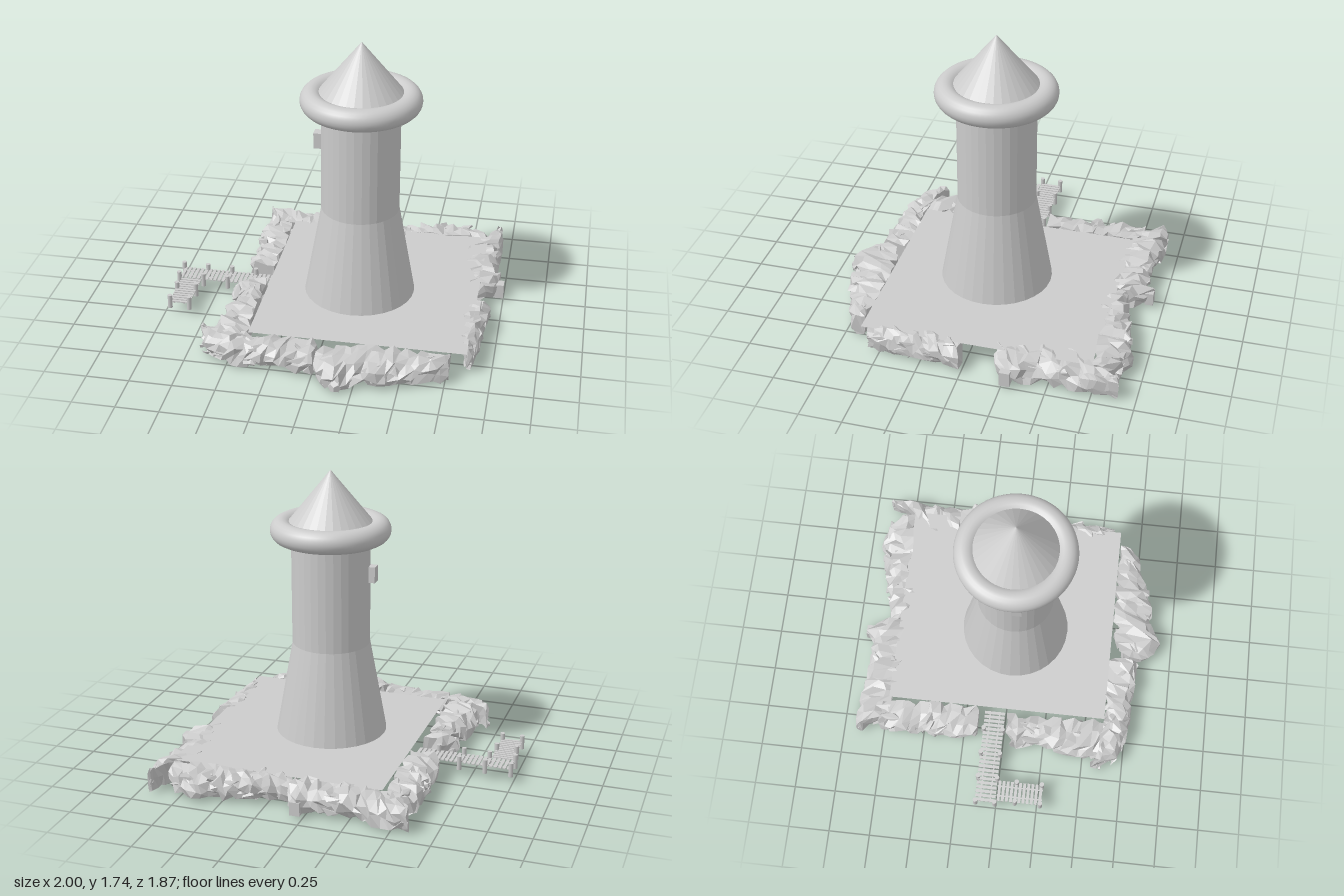
import * as THREE from 'three';
import { ConvexGeometry } from 'three/addons/geometries/ConvexGeometry.js';
import { mergeGeometries } from 'three/addons/utils/BufferGeometryUtils.js';

const smooth = new THREE.MeshStandardMaterial({ color: 0xcccccc });
const flat = new THREE.MeshStandardMaterial({ color: 0xcccccc, flatShading: true });
const thin = new THREE.MeshStandardMaterial({ color: 0xcccccc, side: THREE.DoubleSide });

let seed = 7;
function rand(a = 0, b = 1) {
  seed = (seed * 16807) % 2147483647;
  return a + (b - a) * (seed / 2147483647);
}

function add(parent, name, geometry, material, x = 0, y = 0, z = 0) {
  const mesh = new THREE.Mesh(geometry, material);
  mesh.name = name;
  mesh.position.set(x, y, z);
  parent.add(mesh);
  return mesh;
}

// Rock wall footprints: [distance along the side, inner edge, outer edge]
const WALLS = [
  ['backRightRocks', 'x', [[-0.6, -0.87, -0.92], [-0.5, -0.73, -0.93], [-0.3, -0.69, -0.9], [-0.1, -0.69, -0.89], [0.04, -0.69, -0.94], [0.12, -0.71, -0.84]]],
  ['backLeftRocks', 'x', [[0.12, -0.73, -0.8], [0.25, -0.63, -0.83], [0.4, -0.7, -0.87], [0.65, -0.72, -0.93], [0.75, -0.73, -0.9], [0.85, -0.71, -0.83]]],
  ['leftBackRocks', 'z', [[-0.9, 0.91, 0.94], [-0.75, 0.85, 0.96], [-0.6, 0.73, 0.95], [-0.45, 0.74, 0.95], [-0.27, 0.8, 0.99], [-0.18, 0.78, 0.9]]],
  ['leftFrontRocks', 'z', [[0.01, 0.83, 0.95], [0.1, 0.78, 0.94], [0.2, 0.8, 0.93], [0.35, 0.8, 0.92], [0.45, 0.82, 0.92], [0.57, 0.85, 0.89]]],
  ['frontLeftRocks', 'x', [[0.02, 0.68, 0.82], [0.08, 0.66, 0.88], [0.16, 0.63, 0.93], [0.25, 0.61, 0.87], [0.4, 0.61, 0.85], [0.55, 0.61, 0.8], [0.77, 0.62, 0.71]]],
  ['frontRightRocks', 'x', [[-0.69, 0.55, 0.6], [-0.6, 0.6, 0.73], [-0.5, 0.61, 0.76], [-0.3, 0.61, 0.78], [-0.1, 0.59, 0.79], [0.01, 0.62, 0.8]]],
  ['rightFrontRocks', 'z', [[0.01, -0.41, -0.54], [0.1, -0.43, -0.64], [0.2, -0.42, -0.58], [0.35, -0.42, -0.62], [0.5, -0.4, -0.64], [0.65, -0.4, -0.62]]],
  ['rightBackRocks', 'z', [[-0.78, -0.42, -0.59], [-0.6, -0.41, -0.6], [-0.4, -0.4, -0.59], [-0.27, -0.4, -0.6], [-0.165, -0.4, -0.58]]],
];

// Cross-section of a wall: u from inner to outer edge, v from base to crest
const SECTION = [[0.2, 0.05], [0.6, 0.04], [0.88, 0.18], [1, 0.45], [0.93, 0.72], [0.7, 0.93], [0.35, 0.97], [0.04, 0.93], [0.08, 0.5]];

// Interpolated inner and outer edge at distance t
function edges(stations, t) {
  let i = 0;
  while (i < stations.length - 2 && stations[i + 1][0] < t) i++;
  const [a, b] = [stations[i], stations[i + 1]];
  const k = (t - a[0]) / (b[0] - a[0]);
  return [a[1] + (b[1] - a[1]) * k, a[2] + (b[2] - a[2]) * k];
}

function wallGeometry(axis, stations) {
  const start = stations[0][0], end = stations[stations.length - 1][0];
  const steps = Math.round((end - start) / 0.04), n = SECTION.length;
  const place = (t, w, y) => (axis === 'x' ? [t, y, w] : [w, y, t]);
  const pos = [], index = [];

  // Jagged core swept along the side
  for (let s = 0; s <= steps; s++) {
    const t0 = start + ((end - start) * s) / steps;
    const [inner, outer] = edges(stations, t0);
    for (const [u, v] of SECTION) {
      const t = THREE.MathUtils.clamp(t0 + rand(-0.02, 0.02), start, end);
      const uu = THREE.MathUtils.clamp(u + rand(-0.13, 0.13), 0, 1);
      const y = THREE.MathUtils.clamp(v * 0.155 + rand(-0.02, 0.015), 0.008, 0.16);
      pos.push(...place(t, inner + (outer - inner) * uu, y));
    }
  }
  const flip = (axis === 'x') === (stations[1][2] > stations[1][1]);
  const tri = (a, b, c) => index.push(...(flip ? [a, c, b] : [a, b, c]));
  for (let s = 0; s < steps; s++) {
    for (let i = 0; i < n; i++) {
      const a = s * n + i, b = s * n + ((i + 1) % n);
      tri(a, b, b + n);
      tri(a, b + n, a + n);
    }
  }
  for (let i = 1; i < n - 1; i++) {
    tri(0, i + 1, i);
    tri(steps * n, steps * n + i, steps * n + i + 1);
  }
  const core = new THREE.BufferGeometry();
  core.setAttribute('position', new THREE.Float32BufferAttribute(pos, 3));
  core.setIndex(index);
  const parts = [core.toNonIndexed()];
  parts[0].computeVertexNormals();

  // Angular slabs lying over the core
  for (let k = 0; k < steps * 1.6; k++) {
    const t0 = rand(start + 0.03, end - 0.03);
    const [inner, outer] = edges(stations, t0);
    const u0 = rand(0.15, 0.9), y0 = rand(0.03, 0.13);
    const long = rand(0.03, 0.08), lean = rand(-0.4, 0.4), points = [];
    for (let i = 0; i < 9; i++) {
      const d = rand(-long, long);
      const u = THREE.MathUtils.clamp(u0 + rand(-0.2, 0.2), 0, 1.02);
      const y = THREE.MathUtils.clamp(y0 + d * lean + rand(-0.025, 0.025), 0.004, 0.163);
      const t = THREE.MathUtils.clamp(t0 + d, start, end);
      points.push(new THREE.Vector3(...place(t, inner + (outer - inner) * u, y)));
    }
    const slab = new ConvexGeometry(points);
    slab.deleteAttribute('uv');
    parts.push(slab);
  }
  return mergeGeometries(parts);
}

function createTower() {
  const tower = new THREE.Group();
  tower.name = 'tower';
  tower.position.x = 0.147;
  add(tower, 'flaredBase', new THREE.CylinderGeometry(0.23, 0.33, 0.555, 32, 1, true), flat, 0, 0.4225);
  add(tower, 'shaft', new THREE.CylinderGeometry(0.23, 0.23, 0.69, 32), flat, 0, 1.045);
  const ring = add(tower, 'gallery', new THREE.TorusGeometry(0.284, 0.067, 20, 64), smooth, 0, 1.386);
  ring.rotation.x = Math.PI / 2;
  add(tower, 'roof', new THREE.ConeGeometry(0.285, 0.352, 32), flat, 0, 1.56);
  add(tower, 'window', new THREE.BoxGeometry(0.06, 0.095, 0.06), flat, -0.237, 1.13, 0.03);
  return tower;
}

// Straight run of planks starting at the origin and running along +x
function createPier(name, length, width, count, postXs) {
  const pier = new THREE.Group();
  pier.name = name;
  const pitch = length / count;
  for (let i = 0; i < count; i++) {
    add(pier, 'plank', new THREE.BoxGeometry(pitch * 0.68, 0.006, width), flat, (i + 0.5) * pitch, 0.085);
  }
  for (const side of [-1, 1]) {
    add(pier, 'stringer', new THREE.BoxGeometry(length, 0.005, 0.009), flat, length / 2, 0.081, side * width * 0.24);
    for (const x of postXs) {
      add(pier, 'post', new THREE.CylinderGeometry(0.014, 0.014, 0.085, 12), smooth, x, 0.083, side * width * 0.47);
    }
  }
  return pier;
}

export function createModel() {
  seed = 7;
  const model = new THREE.Group();
  model.name = 'lighthouseIsland';

  // Ground sheet
  const ground = add(model, 'ground', new THREE.PlaneGeometry(1.26, 1.345), thin, 0.23, 0.147, -0.06);
  ground.rotation.x = -Math.PI / 2;

  model.add(createTower());

  // Rocky shore
  for (const [name, axis, stations] of WALLS) {
    add(model, name, wallGeometry(axis, stations), flat);
  }
  add(model, 'outcrop', new THREE.BoxGeometry(0.06, 0.09, 0.06), flat, 0.97, 0.055, -0.27);
  add(model, 'outcrop', new THREE.BoxGeometry(0.06, 0.08, 0.05), flat, 0.04, 0.06, -0.915);
  add(model, 'footing', new THREE.DodecahedronGeometry(0.04, 0), flat, 0.16, 0.038, 0.89);

  // L-shaped dock
  const mainPier = createPier('mainPier', 0.58, 0.126, 22, [0, 0.153, 0.306, 0.459]);
  mainPier.position.set(-0.986, 0, -0.067);
  const sidePier = createPier('sidePier', 0.28, 0.126, 11, [0.115, 0.27]);
  sidePier.position.set(-0.907, 0, 0);
  sidePier.rotation.y = -Math.PI / 2;
  model.add(mainPier, sidePier);
  return model;
}
